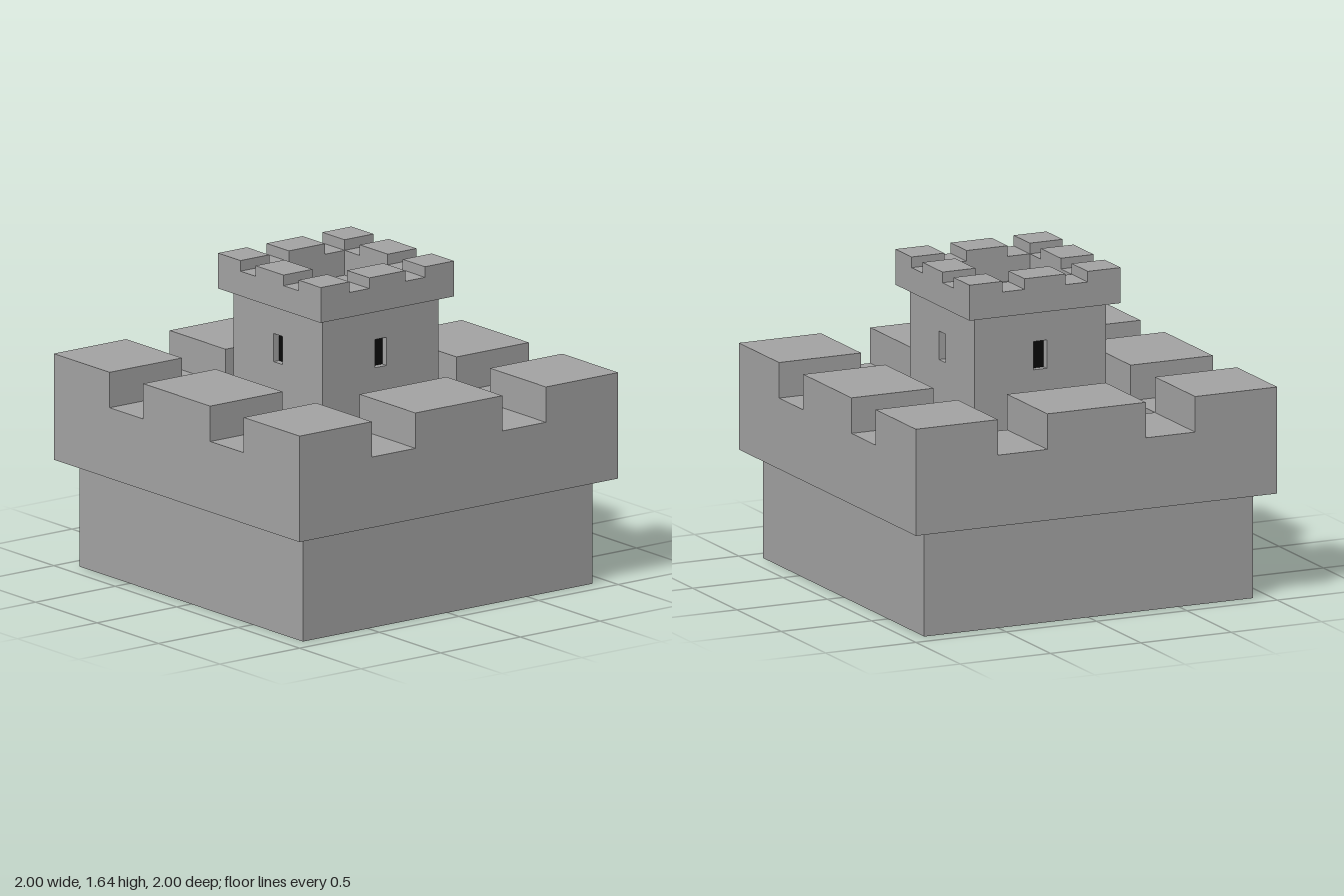
import * as THREE from 'three';

const U = 1 / 11; // building module
const stone = new THREE.MeshStandardMaterial({ color: 0xa3a3a3, flatShading: true });
const dark = new THREE.MeshStandardMaterial({ color: 0x0a0a0a });

function add(parent, name, geometry, material = stone) {
  const mesh = new THREE.Mesh(geometry, material);
  mesh.name = name;
  parent.add(mesh);
  return mesh;
}

// Box given by its lower and upper corners
function block(parent, name, [x0, y0, z0], [x1, y1, z1]) {
  const mesh = add(parent, name, new THREE.BoxGeometry(x1 - x0, y1 - y0, z1 - z0));
  mesh.position.set((x0 + x1) / 2, (y0 + y1) / 2, (z0 + z1) / 2);
}

function rectangle(Type, x0, y0, x1, y1) {
  return new Type([[x0, y0], [x1, y0], [x1, y1], [x0, y1]].map(p => new THREE.Vector2(...p)));
}

// Square wall ring with a merlon on each corner and in the middle of each side
function battlement(name, outer, inner, mid, bottom, sill, top) {
  const group = new THREE.Group();
  group.name = name;
  const shape = rectangle(THREE.Shape, -outer, -outer, outer, outer);
  shape.holes.push(rectangle(THREE.Path, -inner, -inner, inner, inner));
  const ring = new THREE.ExtrudeGeometry(shape, { depth: sill - bottom, bevelEnabled: false });
  ring.rotateX(-Math.PI / 2).translate(0, bottom, 0);
  add(group, 'wallRing', ring);
  for (let i = 0; i < 4; i++) {
    const side = new THREE.Group();
    side.name = 'merlonPair';
    side.rotation.y = i * Math.PI / 2;
    block(side, 'cornerMerlon', [inner, sill, inner], [outer, top, outer]);
    block(side, 'middleMerlon', [-mid, sill, inner], [mid, top, outer]);
    group.add(side);
  }
  return group;
}

// Square tower with a recessed window slit in each side
function tower(half, bottom, top) {
  const group = new THREE.Group();
  group.name = 'tower';
  const recess = 0.4 * U, w = 0.4 * U, y0 = 1.15, y1 = 1.295;
  const core = half - recess;
  block(group, 'towerCore', [-core, bottom, -core], [core, top, core]);
  const shape = rectangle(THREE.Shape, -half, bottom, half, top);
  shape.holes.push(rectangle(THREE.Path, -w, y0, w, y1));
  const wall = new THREE.ExtrudeGeometry(shape, { depth: recess, bevelEnabled: false });
  wall.translate(0, 0, core);
  const pane = new THREE.PlaneGeometry(2 * w, y1 - y0);
  pane.translate(0, (y0 + y1) / 2, core + 0.002);
  for (let i = 0; i < 4; i++) {
    const side = new THREE.Group();
    side.name = 'towerSide';
    side.rotation.y = i * Math.PI / 2;
    add(side, 'towerWall', wall);
    add(side, 'window', pane, dark);
    group.add(side);
  }
  return group;
}

export function createModel() {
  const model = new THREE.Group();
  model.name = 'castle';
  // Solid plinth, its top forming the courtyard floor
  block(model, 'base', [-10 * U, 0, -10 * U], [10 * U, 6 * U, 10 * U]);
  model.add(battlement('outerWall', 11 * U, 6 * U, 3 * U, 6 * U, 10 * U, 12 * U));
  model.add(tower(4 * U, 6 * U, 16 * U));
  model.add(battlement('towerParapet', 4.6 * U, 2.6 * U, 1.25 * U, 16 * U, 17.4 * U, 18 * U));
  return model;
}
